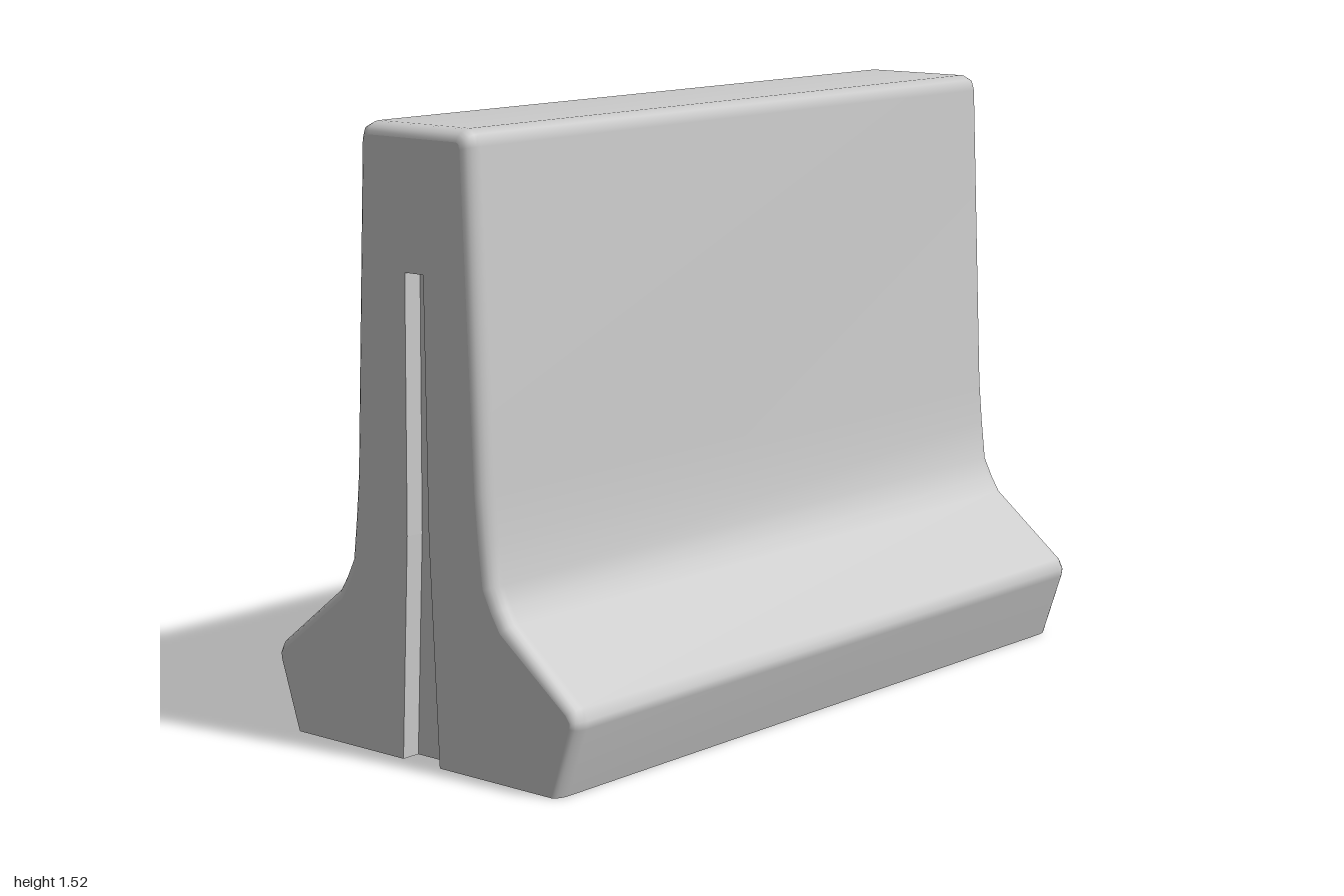
import * as THREE from 'three';

const BEVEL_X = 0.04, SLOT_DEPTH = 0.05;

// Half of the cross-section as [z, y], bottom to top, with its bevel inset
const HALF = [
  [0.44, 0, 0.02], [0.497, 0.17, 0.02], [0.5, 0.19, 0.02], [0.488, 0.22, 0.025],
  [0.285, 0.383, 0.03], [0.262, 0.42, 0.03], [0.238, 0.468, 0.03], [0.226, 0.57, 0.03],
  [0.216, 0.68, 0.03], [0.182, 1.485, 0.03], [0.173, 1.513, 0.03], [0.148, 1.525, 0.03],
];
const PROFILE = [...HALF, ...HALF.map(([z, y, b]) => [-z, y, b]).reverse()];

// Half of the slot outline, bottom to top
const SLOT_HALF = [[0.061, 0], [0.036, 0.55], [0.03, 1.18]];
const SLOT = [...SLOT_HALF, ...SLOT_HALF.map(([z, y]) => [-z, y]).reverse()];

const material = new THREE.MeshStandardMaterial({ color: 0xcccccc, side: THREE.DoubleSide });

// Cross-section moved inward by a fraction t of its bevel
function insetProfile(t) {
  const normal = (a, b) => new THREE.Vector2(b[1] - a[1], a[0] - b[0]).normalize();
  const last = PROFILE.length - 1;
  return PROFILE.map(([z, y, b], i) => {
    if (i === 0 || i === last) return [z - Math.sign(z) * b * t, y];
    const n1 = normal(PROFILE[i - 1], PROFILE[i]);
    const n2 = normal(PROFILE[i], PROFILE[i + 1]);
    const k = b * t / (1 + n1.dot(n2));
    return [z - (n1.x + n2.x) * k, y - (n1.y + n2.y) * k];
  });
}

function meshFrom(positions, indices, flat, name) {
  let geo = new THREE.BufferGeometry();
  geo.setAttribute('position', new THREE.Float32BufferAttribute(positions, 3));
  geo.setIndex(indices);
  if (flat) geo = geo.toNonIndexed();
  geo.computeVertexNormals();
  const mesh = new THREE.Mesh(geo, material);
  mesh.name = name;
  return mesh;
}

// Quads between consecutive rows of points
function gridIndices(rows, cols) {
  const out = [];
  for (let j = 0; j < rows - 1; j++) {
    for (let i = 0; i < cols - 1; i++) {
      const a = j * cols + i, b = a + cols;
      out.push(a, b, b + 1, a, b + 1, a + 1);
    }
  }
  return out;
}

// Long shell with rounded ends, open underneath
function makeShell() {
  const steps = 5, stations = [];
  for (let s = 0; s <= steps; s++) {
    const a = (s / steps) * Math.PI / 2;
    stations.push([1 - BEVEL_X + BEVEL_X * Math.sin(a), 1 - Math.cos(a)]);
  }
  const rings = [...stations.map(([x, t]) => [-x, t]).reverse(), ...stations];
  const positions = [];
  for (const [x, t] of rings) {
    for (const [z, y] of insetProfile(t)) positions.push(x, y, z);
  }
  return meshFrom(positions, gridIndices(rings.length, PROFILE.length), false, 'barrierShell');
}

// Flat end panel with a recessed slot, drawn in xy and facing +z
function makeEnd() {
  const end = new THREE.Group();
  const toPoints = (list) => list.map(([u, v]) => new THREE.Vector2(u, v));

  const panel = new THREE.Mesh(
    new THREE.ShapeGeometry(new THREE.Shape(toPoints([...insetProfile(1), ...[...SLOT].reverse()]))), material);
  panel.name = 'endPanel';

  const back = new THREE.Mesh(new THREE.ShapeGeometry(new THREE.Shape(toPoints(SLOT))), material);
  back.position.z = -SLOT_DEPTH;
  back.name = 'slotBack';

  const positions = [];
  for (const depth of [0, -SLOT_DEPTH]) {
    for (const [u, v] of SLOT) positions.push(u, v, depth);
  }
  const walls = meshFrom(positions, gridIndices(2, SLOT.length), true, 'slotWalls');

  end.add(panel, back, walls);
  return end;
}

export function createModel() {
  const model = new THREE.Group();
  model.name = 'roadBarrier';
  model.add(makeShell());
  for (const side of [1, -1]) {
    const end = makeEnd();
    end.name = side > 0 ? 'leftEnd' : 'rightEnd';
    end.rotation.y = side * Math.PI / 2;
    end.position.x = side;
    model.add(end);
  }
  return model;
}
